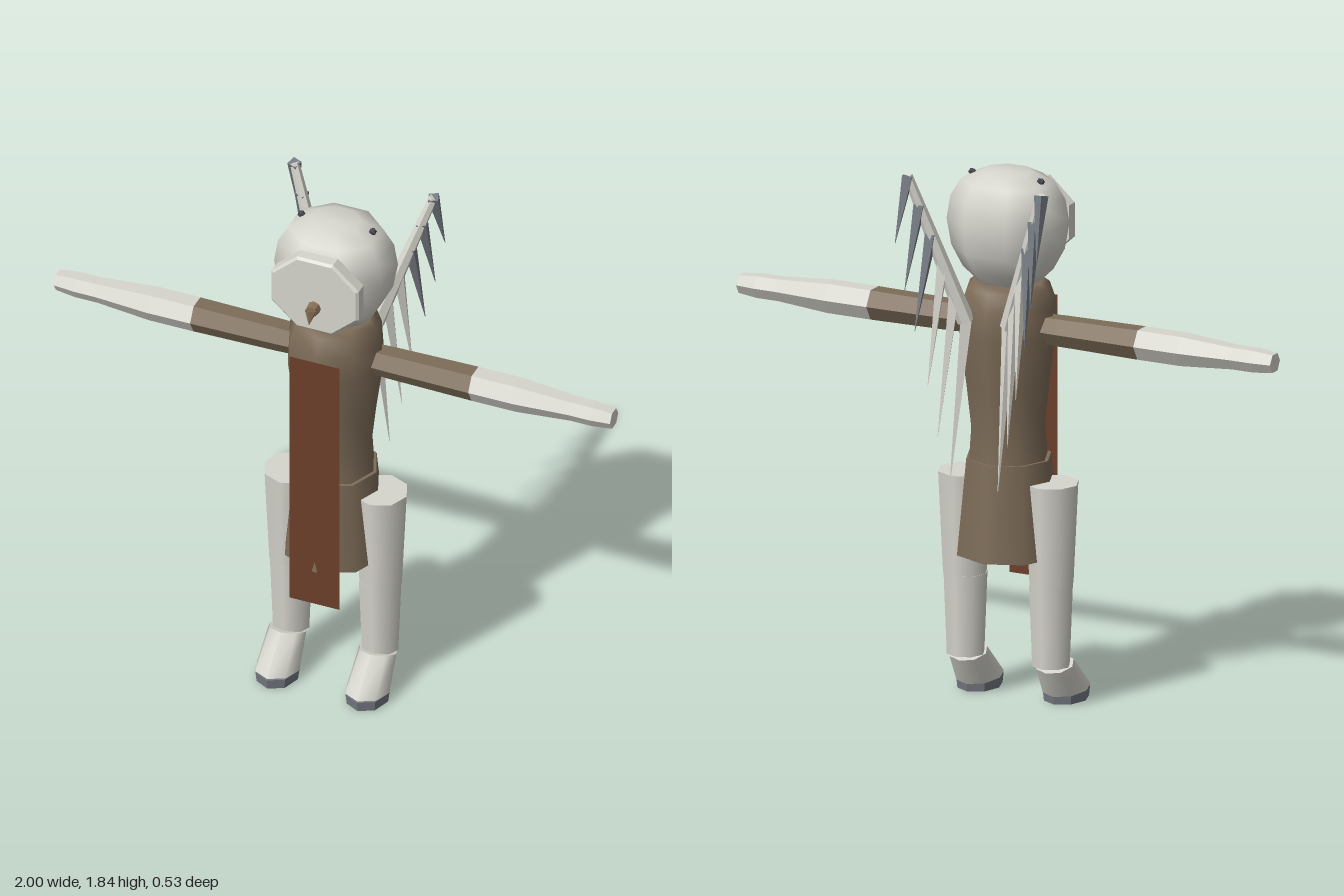
import * as THREE from 'three';

const paint = (name, color, extra = {}) =>
  Object.assign(new THREE.MeshStandardMaterial({ color, ...extra }), { name });

export function createModel() {
  const model = new THREE.Group();
  model.name = 'wingedFigure';
  const flat = { flatShading: true };
  const pale = paint('paleSkin', 0xd6d5cd);
  const paleFlat = paint('paleSkinFaceted', 0xd6d5cd, flat);
  const tunic = paint('tunicBrown', 0x7d6c58);
  const sleeve = paint('sleeveBrown', 0x7d6c58, flat);
  const cloth = paint('tabardRust', 0x6b3f29, { side: THREE.DoubleSide });
  const slate = paint('slateGrey', 0x757a82, flat);
  const beakMat = paint('beakTan', 0x8a7056, flat);
  const dark = paint('eyeDark', 0x45464c, flat);
  const Z = 0.037; // depth of the body axis

  function add(parent, name, geometry, material, x = 0, y = 0, z = 0) {
    const mesh = new THREE.Mesh(geometry, material);
    mesh.name = name;
    mesh.position.set(x, y, z);
    parent.add(mesh);
    return mesh;
  }
  const lathe = (pts, sides) =>
    new THREE.LatheGeometry(pts.map(([r, y]) => new THREE.Vector2(r, y)), sides);

  // Tapered rod between two points
  function rod(parent, name, a, b, rA, rB, sides, material) {
    const from = new THREE.Vector3(...a), to = new THREE.Vector3(...b);
    const dir = to.clone().sub(from);
    const mesh = add(parent, name, new THREE.CylinderGeometry(rB, rA, dir.length(), sides), material);
    mesh.position.copy(from).add(to).multiplyScalar(0.5);
    mesh.quaternion.setFromUnitVectors(new THREE.Vector3(0, 1, 0), dir.normalize());
    return mesh;
  }

  // Torso and flared skirt
  add(model, 'torso', lathe([[0.137, 0.82], [0.128, 0.95], [0.145, 1.1], [0.17, 1.28],
    [0.164, 1.37], [0.143, 1.43], [0.12, 1.447], [0, 1.45]], 8), tunic, 0, 0, Z);
  add(model, 'skirt', new THREE.CylinderGeometry(0.147, 0.179, 0.33, 8), tunic, 0, 0.675, Z + 0.003);

  // Long cloth panel hanging in front
  add(model, 'tabard', new THREE.PlaneGeometry(0.18, 0.98), cloth, 0, 0.87, 0.215);

  // Head, turned so that flats face front and sides
  const head = add(model, 'head', lathe([[0, 1.435], [0.1, 1.437], [0.155, 1.49], [0.193, 1.56],
    [0.209, 1.65], [0.196, 1.73], [0.16, 1.79], [0.085, 1.824], [0, 1.828]], 8)
    .rotateY(Math.PI / 8), pale, 0, 0, Z - 0.002);
  head.scale.z = 0.87;

  // Eight-sided face plate with a bevelled rim
  const face = new THREE.Group();
  face.name = 'faceDisc';
  face.position.y = 1.63;
  face.scale.y = 0.9;
  model.add(face);
  const disc = (rFront, rBack, depth) =>
    new THREE.CylinderGeometry(rFront, rBack, depth, 8).rotateY(Math.PI / 8).rotateX(Math.PI / 2);
  add(face, 'faceRim', disc(0.17, 0.17, 0.04), paleFlat, 0, 0, 0.19);
  add(face, 'faceFront', disc(0.16, 0.17, 0.008), paleFlat, 0, 0, 0.214);

  // Hooked beak
  rod(model, 'beakBase', [0, 1.587, 0.2], [0, 1.585, 0.245], 0.027, 0.02, 8, beakMat);
  rod(model, 'beakHook', [0, 1.592, 0.245], [0, 1.545, 0.262], 0.021, 0.001, 6, beakMat);

  // Arm sections as [x, radius] pairs, six sided with an edge at the front
  function arm(name, parent, s, sections, material) {
    for (let i = 0; i < sections.length - 1; i++) {
      const [xa, ra] = sections[i], [xb, rb] = sections[i + 1];
      const geo = new THREE.CylinderGeometry(rb, ra, xb - xa, 6, 1, i > 0 && i < sections.length - 2);
      geo.rotateZ(-s * Math.PI / 2);
      add(parent, name, geo, material, s * (xa + xb) / 2, 1.297, 0.035);
    }
  }

  const feathers = [ // tips from the root of the wing to its end
    [0.09, 0.79, -0.205], [0.13, 0.95, -0.215], [0.165, 1.12, -0.22],
    [0.205, 1.31, -0.235], [0.235, 1.45, -0.25], [0.265, 1.61, -0.262]];

  for (const s of [1, -1]) {
    const side = new THREE.Group();
    side.name = s > 0 ? 'leftSide' : 'rightSide';
    model.add(side);

    add(side, 'eye', new THREE.IcosahedronGeometry(0.014, 0), dark, s * 0.128, 1.803, 0.025);

    arm('upperArm', side, s, [[0.1, 0.05], [0.2, 0.054], [0.5, 0.058]], sleeve);
    arm('forearm', side, s, [[0.5, 0.058], [0.66, 0.058], [0.85, 0.043], [0.93, 0.043], [1, 0.035]], paleFlat);

    // Leg
    add(side, 'thigh', new THREE.CylinderGeometry(0.093, 0.076, 0.35, 8), pale, s * 0.162, 0.595, Z);
    add(side, 'shin', new THREE.CylinderGeometry(0.076, 0.065, 0.28, 8), pale, s * 0.16, 0.28, Z);

    // Foot slanting forward onto a grey sole
    const foot = new THREE.CylinderGeometry(1, 1, 1, 8);
    const p = foot.attributes.position;
    for (let i = 0; i < p.count; i++) {
      const top = p.getY(i) > 0, z = p.getZ(i);
      p.setXYZ(i, p.getX(i) * (top ? 0.066 : 0.075),
        top ? 0.138 + z * 0.018 : 0.035 + z * 0.008,
        top ? 0.06 + z * 0.062 : 0.142 + z * 0.095);
    }
    foot.computeVertexNormals();
    add(side, 'foot', foot, pale, s * 0.162);
    const sole = add(side, 'sole', new THREE.CylinderGeometry(1, 0.95, 0.036, 8), slate, s * 0.162, 0.018, 0.142);
    sole.scale.set(0.075, 1, 0.095);

    // Wing arm with hanging spike feathers
    const wing = new THREE.Group();
    wing.name = 'wing';
    side.add(wing);
    const root = [0.08, 1.33, -0.11], end = [0.25, 1.83, -0.2];
    const flip = ([x, y, z]) => [s * x, y, z];
    rod(wing, 'wingBone', flip(root), flip(end), 0.03, 0.016, 6, paleFlat);
    feathers.forEach((tip, i) => {
      const t = i / (feathers.length - 1);
      const start = root.map((v, k) => v + (end[k] - v) * t);
      rod(wing, 'feather', flip(start), flip(tip), 0.024, 0.001, 4, i > 2 ? slate : paleFlat);
    });
  }
  return model;
}
